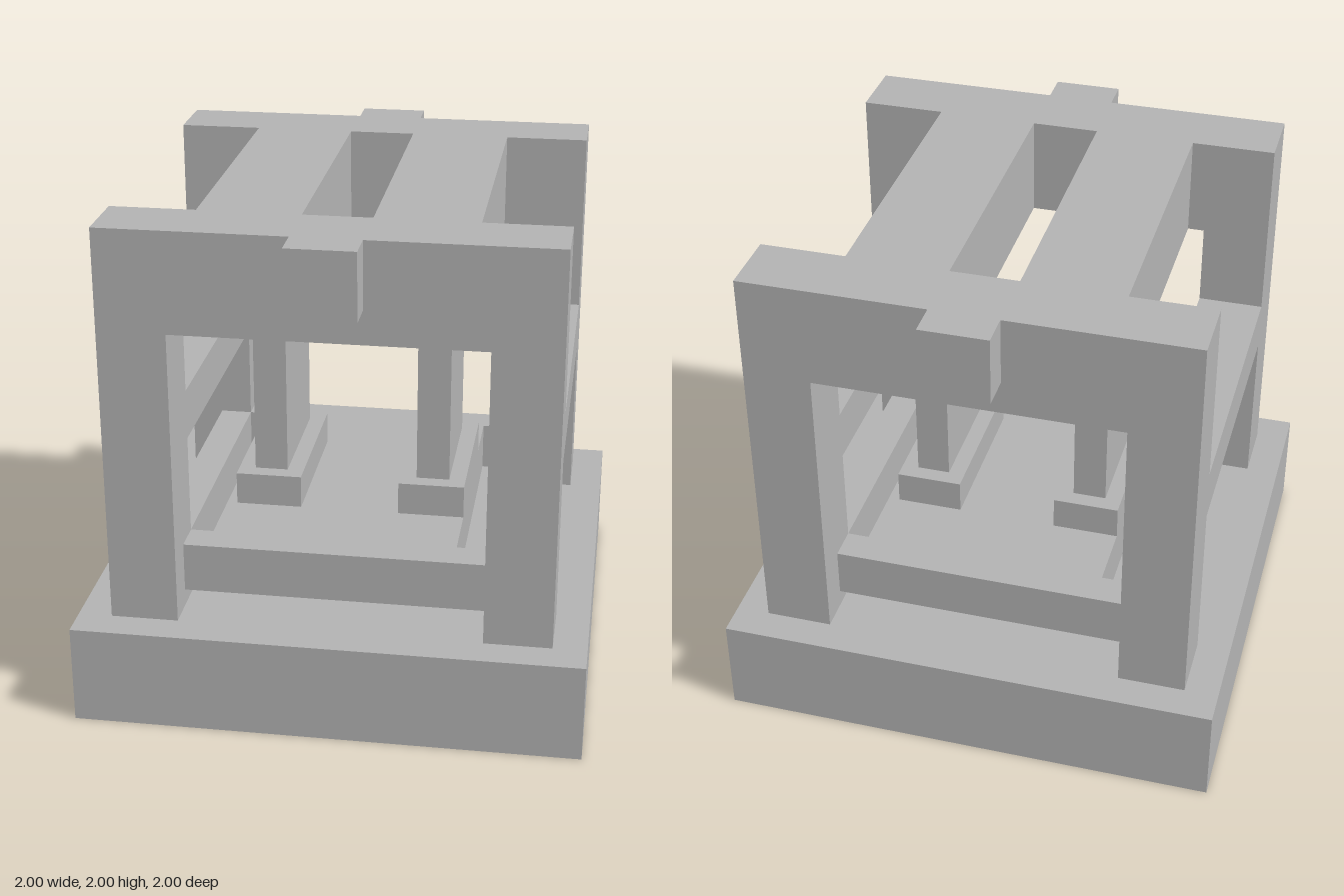
import * as THREE from 'three';

const U = 1 / 15; // grid unit used for every part

export function createModel() {
  const model = new THREE.Group();
  const grey = new THREE.MeshStandardMaterial({ color: 0xb2b2b2 });
  grey.name = 'stone grey';

  // Box given by its min and max corners in grid units
  function box(name, [x0, y0, z0], [x1, y1, z1]) {
    const geo = new THREE.BoxGeometry((x1 - x0) * U, (y1 - y0) * U, (z1 - z0) * U);
    geo.translate((x0 + x1) * U / 2, (y0 + y1) * U / 2, (z0 + z1) * U / 2);
    const mesh = new THREE.Mesh(geo, grey);
    mesh.name = name;
    model.add(mesh);
  }
  // Same box on both sides of x = 0 or z = 0
  function pairX(name, [x0, y0, z0], [x1, y1, z1]) {
    box(name + 'Left', [x0, y0, z0], [x1, y1, z1]);
    box(name + 'Right', [-x1, y0, z0], [-x0, y1, z1]);
  }
  function pairZ(name, [x0, y0, z0], [x1, y1, z1]) {
    box(name + 'Front', [x0, y0, z0], [x1, y1, z1]);
    box(name + 'Back', [x0, y0, -z1], [x1, y1, -z0]);
  }

  // Base with a thin recessed slab and raised platform
  box('base', [-15, 0, -15], [15, 6, 15]);
  box('floorSlab', [-9, 6, -9], [9, 7, 9]);
  box('platform', [-7, 7, -9], [7, 10, 9]);

  // Low kerb bars between the posts
  pairZ('kerbBar', [-9, 7, 9], [9, 10, 11]);
  pairX('kerbBar', [9, 7, -9], [11, 10, 9]);

  // Front and back portal frames, cut from one outline
  const outline = new THREE.Shape([
    [-13, 6], [-9, 6], [-9, 24], [9, 24], [9, 6], [13, 6], [13, 30], [-13, 30],
  ].map(([x, y]) => new THREE.Vector2(x * U, y * U)));
  for (const [name, z] of [['frontFrame', 9], ['backFrame', -13]]) {
    const geo = new THREE.ExtrudeGeometry(outline, { depth: 4 * U, bevelEnabled: false });
    geo.translate(0, 0, z * U);
    const frame = new THREE.Mesh(geo, grey);
    frame.name = name;
    model.add(frame);
  }
  pairZ('lintelBlock', [-2, 26, 13], [2, 30, 15]);

  // Side rails and roof beams joining the frames
  pairX('sideRail', [9, 16, -9], [13, 19, 9]);
  pairX('roofBeam', [2, 24, -9], [8, 30, 9]);

  // Inner pillars on their feet
  pairX('pillarFoot', [3, 10, -5], [7, 12, 5]);
  pairX('pillar', [4, 12, -4], [6, 24, 4]);

  return model;
}
